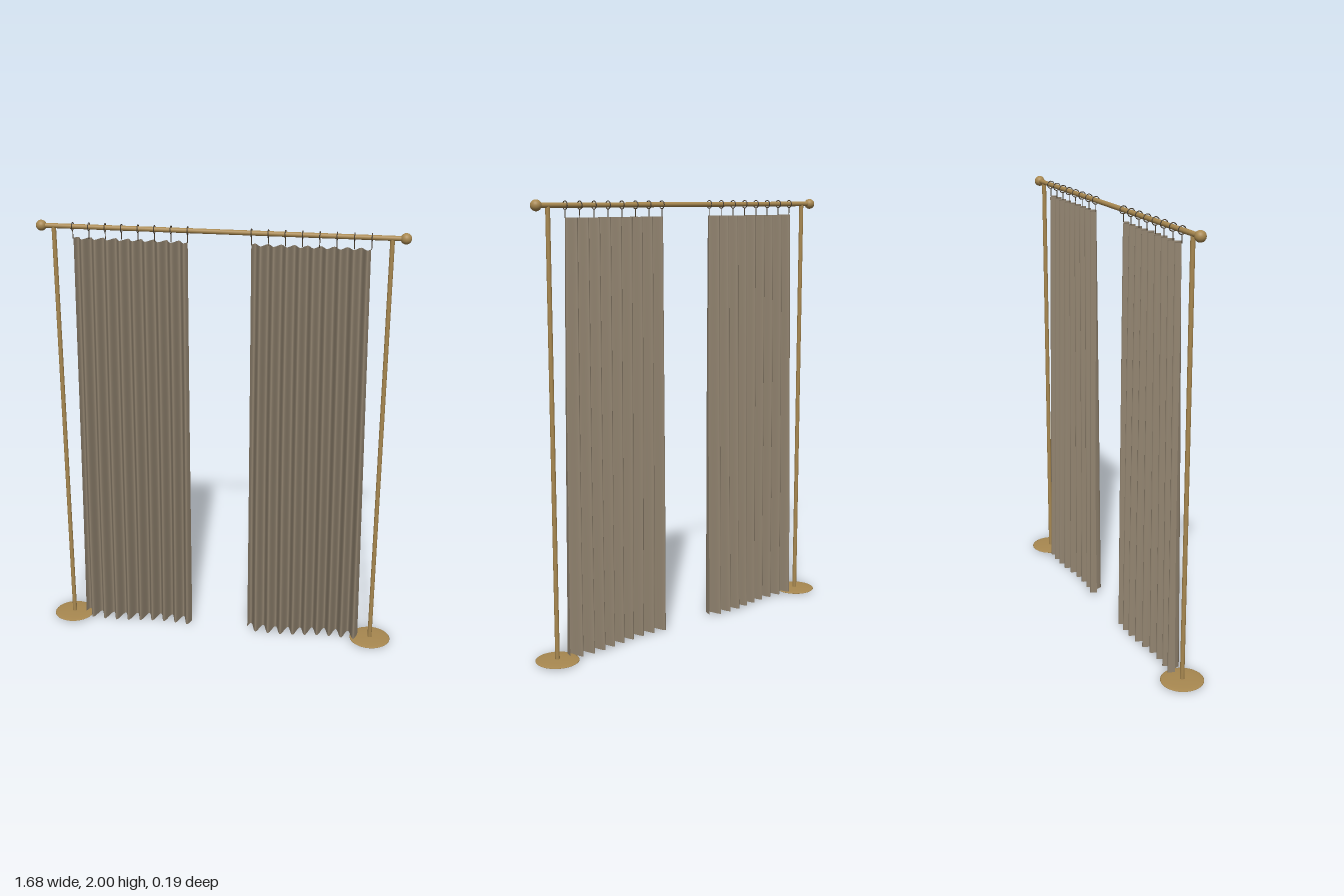
import * as THREE from 'three';

const brass = new THREE.MeshStandardMaterial({ color: 0xa88850 });
brass.name = 'brass';
const cloth = new THREE.MeshStandardMaterial({ color: 0x928470, side: THREE.DoubleSide });
cloth.name = 'taupe cloth';
const bronze = new THREE.MeshStandardMaterial({ color: 0x4a3f30 });
bronze.name = 'dark bronze';

const ROD_Y = 1.976, INNER = 0.14, TOP = 1.925, BOTTOM = 0.008;

function add(parent, name, geometry, material, x = 0, y = 0, z = 0) {
  const mesh = new THREE.Mesh(geometry, material);
  mesh.name = name;
  mesh.position.set(x, y, z);
  parent.add(mesh);
  return mesh;
}

// Pleated cloth: a grid folded by a sine whose depth and spread grow downward
function curtainGeometry(side) {
  const folds = 9;
  const geo = new THREE.PlaneGeometry(1, 1, folds * 16, 24);
  const pos = geo.attributes.position;
  for (let i = 0; i < pos.count; i++) {
    const u = pos.getX(i) + 0.5;
    const drop = 0.5 - pos.getY(i);
    const outer = 0.655 + 0.028 * drop;
    const left = side > 0 ? INNER : -outer;
    const x = left + u * (outer - INNER);
    const depth = 0.023 + 0.012 * drop;
    const drift = 0.35 * Math.sin(3 * drop + 5 * u) * drop;
    const sway = 0.012 * drop * Math.sin(2 * Math.PI * u);
    const z = sway - depth * Math.sin(2 * Math.PI * folds * u + drift);
    pos.setXYZ(i, x, TOP + (BOTTOM - TOP) * drop, z);
  }
  geo.computeVertexNormals();
  return geo;
}

export function createModel() {
  const model = new THREE.Group();
  model.name = 'curtainStand';

  // Top rod
  const rod = add(model, 'rod', new THREE.CylinderGeometry(0.011, 0.011, 1.6, 20), brass, 0, ROD_Y, 0);
  rod.rotation.z = Math.PI / 2;

  const ringGeo = new THREE.TorusGeometry(0.017, 0.0022, 8, 24);
  const hookGeo = new THREE.CylinderGeometry(0.002, 0.002, 0.036, 8);

  for (const side of [-1, 1]) {
    const label = side > 0 ? 'left' : 'right';

    // Upright with its ball end and low domed foot
    const stand = new THREE.Group();
    stand.name = label + 'Stand';
    model.add(stand);
    add(stand, 'finial', new THREE.SphereGeometry(0.024, 24, 16), brass, side * 0.8, ROD_Y, 0);
    add(stand, 'pole', new THREE.CylinderGeometry(0.01, 0.01, ROD_Y - 0.006, 20), brass,
      side * 0.743, ROD_Y / 2 + 0.003, 0);
    const foot = add(stand, 'foot', new THREE.SphereGeometry(0.097, 40, 16), brass, side * 0.743, 0.007, 0);
    foot.scale.y = 0.007 / 0.097;

    // Cloth panel
    add(model, label + 'Curtain', curtainGeometry(side), cloth);

    // Eight rings with hooks down to the cloth
    const rings = new THREE.Group();
    rings.name = label + 'Rings';
    model.add(rings);
    for (let i = 0; i < 8; i++) {
      const x = side * (INNER + i * 0.0739);
      add(rings, 'ring', ringGeo, bronze, x, ROD_Y, 0).rotation.y = Math.PI / 2;
      add(rings, 'hook', hookGeo, bronze, x, ROD_Y - 0.035, 0);
    }
  }
  return model;
}
